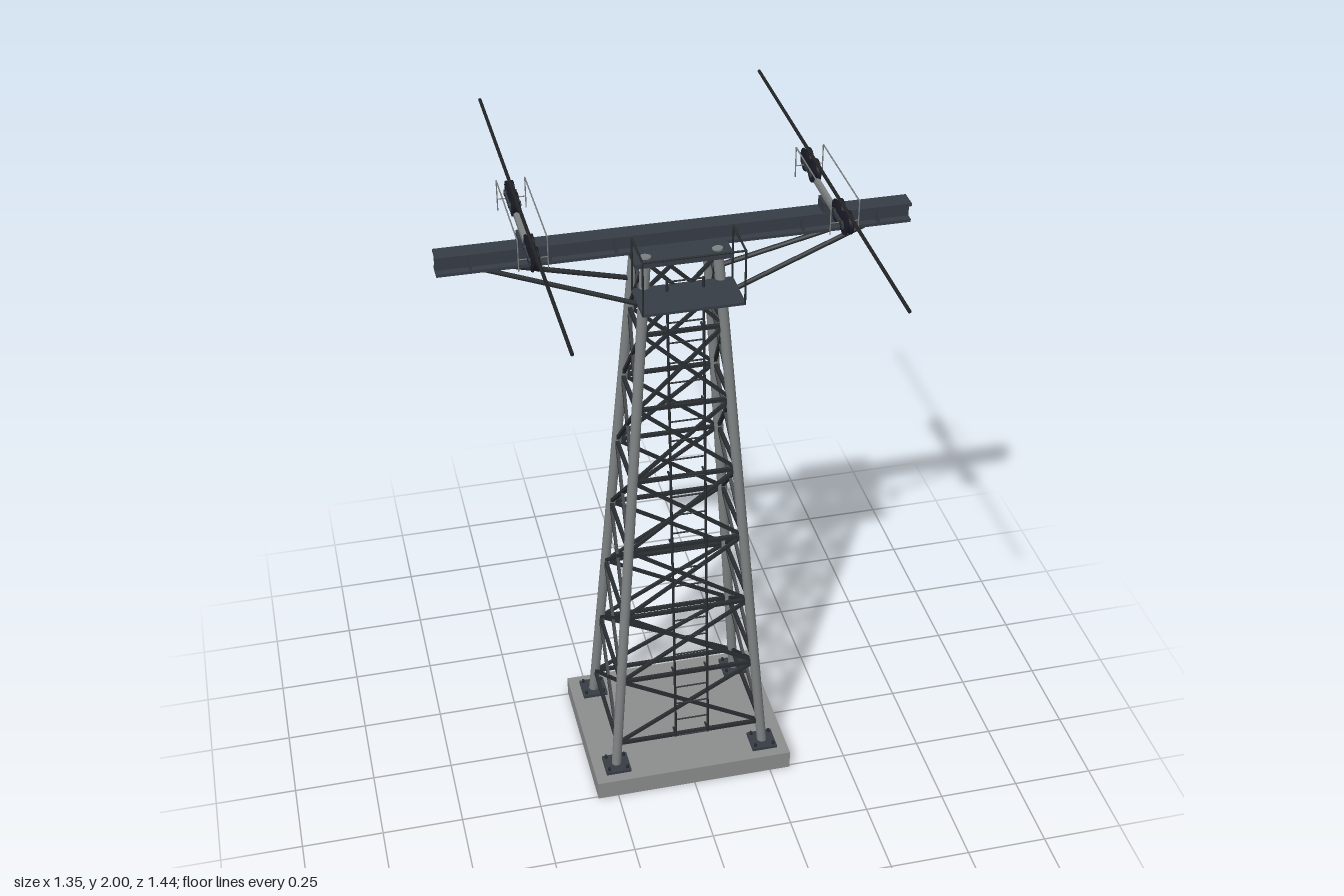
import * as THREE from 'three';

const mat = (name, color) => {
  const m = new THREE.MeshStandardMaterial({ color });
  m.name = name;
  return m;
};

export function createModel() {
  const concrete = mat('concrete', 0x8c8f8f);
  const galvanised = mat('galvanised steel', 0x7e8283);
  const brace = mat('dark brace steel', 0x2a2e31);
  const beamPaint = mat('beam paint', 0x373d46);
  const rubber = mat('sheave rubber', 0x1a1b26);
  const cable = mat('cable', 0x222325);

  const root = new THREE.Group();
  root.name = 'cablewayTower';
  const group = (name, parent = root) => {
    const g = new THREE.Group();
    g.name = name;
    parent.add(g);
    return g;
  };
  const add = (parent, name, geo, material, x = 0, y = 0, z = 0) => {
    const m = new THREE.Mesh(geo, material);
    m.name = name;
    m.position.set(x, y, z);
    parent.add(m);
    return m;
  };
  const box = (parent, name, material, w, h, d, x, y, z) =>
    add(parent, name, new THREE.BoxGeometry(w, h, d), material, x, y, z);
  const V = (x, y, z) => new THREE.Vector3(x, y, z);
  const up = V(0, 1, 0);
  // Round bar, or square bar when sides is 4, between two points
  const bar = (parent, name, material, a, b, r, sides = 6) => {
    const d = b.clone().sub(a);
    const len = d.length();
    const geo = sides === 4
      ? new THREE.BoxGeometry(r * 2, len, r * 2)
      : new THREE.CylinderGeometry(r, r, len, sides);
    const m = add(parent, name, geo, material);
    m.position.copy(a).add(b).multiplyScalar(0.5);
    m.quaternion.setFromUnitVectors(up, d.normalize());
    return m;
  };
  // Leg centre line at height y
  const leg = (sx, y, sz) => {
    const t = (y - 0.07) / 1.77;
    return V(sx * (0.24 - 0.138 * t), y, sz * (0.184 - 0.119 * t));
  };
  const corners = [[1, 1], [1, -1], [-1, -1], [-1, 1]];

  // Foundation, anchor plates and legs
  box(root, 'foundation', concrete, 0.63, 0.063, 0.516, 0, 0.0315, 0);
  const legs = group('legs');
  for (const [sx, sz] of corners) {
    const px = sx * 0.24, pz = sz * 0.186;
    box(legs, 'anchorPlate', beamPaint, 0.08, 0.01, 0.08, px, 0.068, pz);
    for (const bx of [-1, 1]) for (const bz of [-1, 1]) {
      add(legs, 'anchorBolt', new THREE.CylinderGeometry(0.005, 0.005, 0.012, 6),
        brace, px + bx * 0.029, 0.078, pz + bz * 0.029);
    }
    bar(legs, 'leg', galvanised, leg(sx, 0.066, sz), leg(sx, 1.843, sz), 0.0155, 12);
  }

  // Lattice: a horizontal ring at each level, a cross on each face between levels
  const lattice = group('lattice');
  const levels = Array.from({ length: 7 }, (_, i) => 0.15 + i * 0.2415).concat(1.825);
  levels.forEach((y, i) => {
    corners.forEach(([ax, az], k) => {
      const [bx, bz] = corners[(k + 1) % 4];
      bar(lattice, 'horizontal', brace, leg(ax, y, az), leg(bx, y, bz), 0.0055, 4);
      if (i < levels.length - 1) {
        const y2 = levels[i + 1];
        bar(lattice, 'diagonal', brace, leg(ax, y, az), leg(bx, y2, bz), 0.0048, 4);
        bar(lattice, 'diagonal', brace, leg(bx, y, bz), leg(ax, y2, az), 0.0048, 4);
      }
    });
  });

  // Head plate and I-section crossarm with stiffeners
  const head = group('crossarm');
  box(head, 'headPlate', beamPaint, 0.28, 0.014, 0.2, 0, 1.832, 0);
  box(head, 'bottomFlange', beamPaint, 1.35, 0.009, 0.056, 0, 1.835, 0);
  box(head, 'topFlange', beamPaint, 1.35, 0.009, 0.056, 0, 1.885, 0);
  box(head, 'web', beamPaint, 1.35, 0.05, 0.012, 0, 1.86, 0);
  for (const s of [-1, 1]) {
    for (const x of [0.175, 0.36, 0.58]) {
      box(head, 'stiffener', beamPaint, 0.008, 0.044, 0.05, s * x, 1.86, 0);
    }
    for (const sz of [-1, 1]) {
      bar(head, 'kneeBrace', brace, leg(s, 1.695, sz), V(s * 0.54, 1.832, sz * 0.018), 0.0075, 8);
    }
  }

  // Ladder on the front face
  const ladder = group('ladder');
  const rung = (x, y) => V(x, y, 0.215 - 0.11 * (y - 0.175) / 1.605);
  for (const s of [-1, 1]) {
    bar(ladder, 'ladderRail', brace, rung(s * 0.052, 0.175), rung(s * 0.052, 1.78), 0.004);
    for (let y = 0.178; y < 1.7; y += 0.24) {
      const p = rung(s * 0.052, y);
      bar(ladder, 'standoff', brace, p, V(p.x, y, leg(1, y, 1).z), 0.0025, 4);
    }
  }
  for (let i = 0; i < 26; i++) {
    const y = 0.177 + i * 0.064;
    bar(ladder, 'rung', brace, rung(-0.052, y), rung(0.052, y), 0.0025);
  }

  // Service platform with guard rail
  const platform = group('platform');
  box(platform, 'platformDeck', beamPaint, 0.29, 0.008, 0.145, 0, 1.745, 0.1425);
  for (const s of [-1, 1]) {
    for (const z of [0.075, 0.213]) {
      bar(platform, 'guardPost', brace, V(s * 0.143, 1.745, z), V(s * 0.143, 1.91, z), 0.003);
    }
    bar(platform, 'sideRail', brace, V(s * 0.143, 1.91, 0.075), V(s * 0.143, 1.91, 0.213), 0.003);
  }
  bar(platform, 'frontRail', brace, V(-0.143, 1.91, 0.213), V(0.143, 1.91, 0.213), 0.003);

  // Sheave profile, grooved around the rim
  const sheaveGeo = new THREE.LatheGeometry([
    [0, -0.011], [0.033, -0.011], [0.034, -0.007], [0.028, -0.002],
    [0.028, 0.002], [0.034, 0.007], [0.033, 0.011], [0, 0.011],
  ].map(([r, y]) => new THREE.Vector2(r, y)), 20).rotateZ(Math.PI / 2);

  // Sheave assembly and rope on each side
  for (const s of [-1, 1]) {
    const cx = s * 0.43;
    const a = group(s > 0 ? 'leftSheaveAssembly' : 'rightSheaveAssembly');
    box(a, 'mount', beamPaint, 0.03, 0.032, 0.05, cx, 1.904, 0);
    box(a, 'rocker', galvanised, 0.016, 0.014, 0.31, cx, 1.928, 0);
    for (const sz of [-1, 1]) {
      for (const sx of [-1, 1]) {
        box(a, 'bogiePlate', beamPaint, 0.004, 0.016, 0.1, cx + sx * 0.014, 1.943, sz * 0.154);
      }
      for (const z of [0.12, 0.19]) {
        add(a, 'sheave', sheaveGeo, rubber, cx, 1.947, sz * z);
        bar(a, 'axle', brace, V(cx - 0.018, 1.947, sz * z), V(cx + 0.018, 1.947, sz * z), 0.008, 10);
      }
    }
    // Thin rope guards either side
    for (const sx of [-1, 1]) {
      const gx = cx + sx * 0.04;
      bar(a, 'guardRail', galvanised, V(gx, 1.998, -0.172), V(gx, 1.998, 0.172), 0.002);
      for (const sz of [-1, 1]) {
        bar(a, 'guardUpright', galvanised, V(gx, 1.905, sz * 0.172), V(gx, 1.998, sz * 0.172), 0.0018);
        bar(a, 'guardArm', galvanised, V(gx, 1.94, sz * 0.172), V(cx, 1.94, sz * 0.172), 0.0015);
      }
    }
    bar(a, 'rope', cable, V(cx, 1.98, -0.72), V(cx, 1.98, 0.72), 0.005, 8);
  }
  return root;
}
